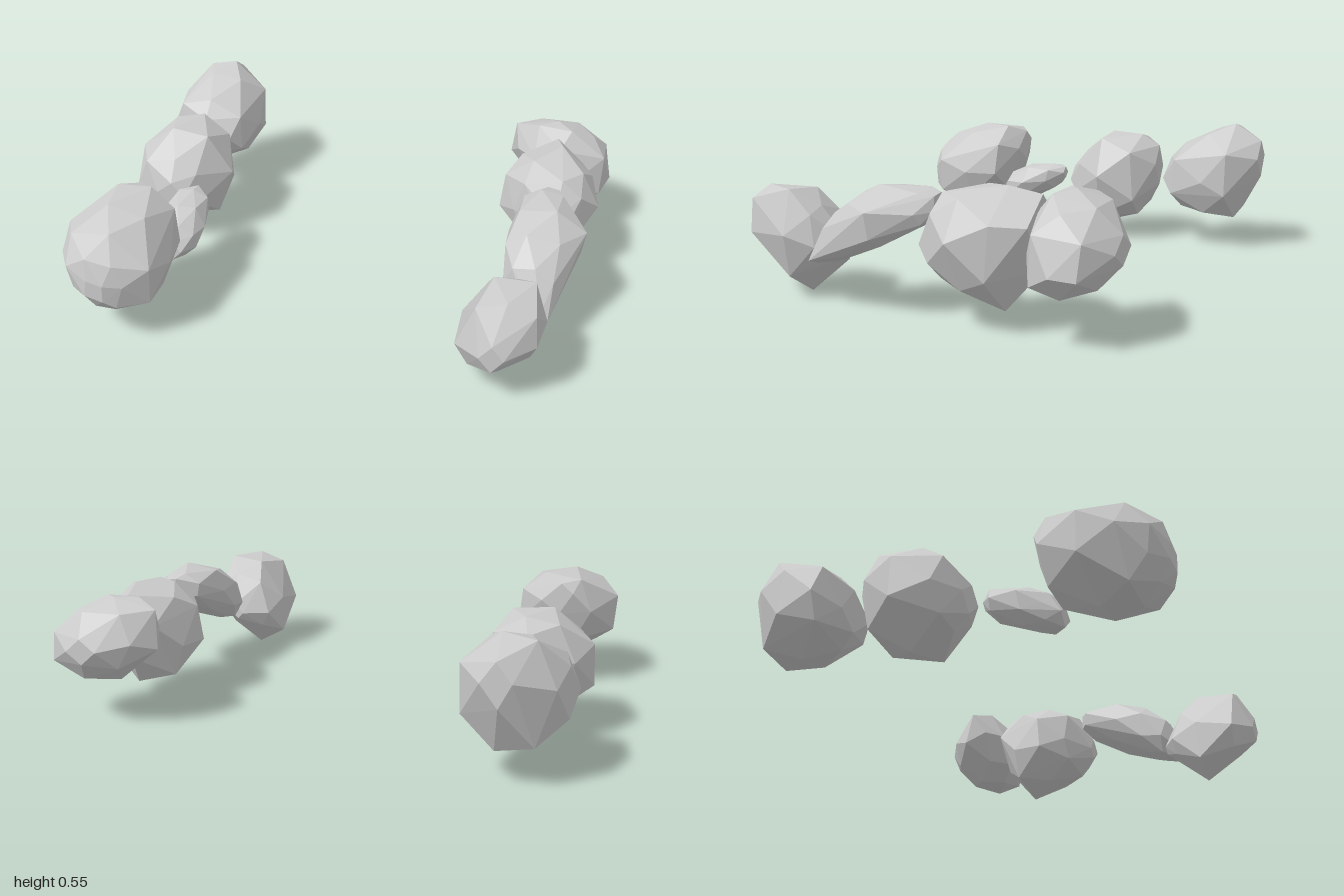
import * as THREE from 'three';
import { ConvexGeometry } from 'three/addons/geometries/ConvexGeometry.js';

const material = new THREE.MeshStandardMaterial({ color: 0xcccccc, flatShading: true });

// Small seeded generator for the irregular facets
function seeded(seed) {
  let s = seed;
  return () => (s = (s * 16807) % 2147483647) / 2147483647;
}

// A rock is the convex hull of slanted oval sections along z.
// Each section is [z, xMin, xMax, yMin, yMax]; lean > 0 raises the +x side.
function rock(name, lean, sections, seed) {
  const rand = seeded(seed * 7919 + 13);
  const points = [];
  sections.forEach(([z, x0, x1, y0, y1], i) => {
    const end = i === 0 || i === sections.length - 1;
    const sides = end ? 4 : 7;
    const grow = 1.06;
    for (let k = 0; k < sides; k++) {
      const t = ((k + (i % 2) * 0.5 + (rand() - 0.5) * 0.35) / sides) * Math.PI * 2;
      const x = (x0 + x1) / 2 + ((x1 - x0) / 2) * grow * Math.cos(t);
      const y = (y0 + y1) / 2 + ((y1 - y0) / 2) * grow * Math.sin(t + lean);
      points.push(new THREE.Vector3(
        THREE.MathUtils.clamp(x, x0, x1),
        THREE.MathUtils.clamp(y, y0, y1),
        z + (end ? 0 : (rand() - 0.5) * 0.03)
      ));
    }
  });
  const mesh = new THREE.Mesh(new ConvexGeometry(points), material);
  mesh.name = name;
  return mesh;
}

export function createModel() {
  const model = new THREE.Group();
  model.name = 'rockRows';

  // Row on the +x side, front to back
  const leftRow = new THREE.Group();
  leftRow.name = 'leftRow';
  leftRow.add(
    rock('leftFrontRock', 0.25, [
      [0.29, 0.72, 0.79, 0.16, 0.23],
      [0.37, 0.62, 0.87, 0.11, 0.35],
      [0.47, 0.60, 0.91, 0.00, 0.42],
      [0.62, 0.61, 0.90, 0.11, 0.41],
      [0.70, 0.71, 0.80, 0.16, 0.27],
    ], 1),
    rock('leftLongRock', -0.1, [
      [0.355, 0.82, 0.90, 0.15, 0.20],
      [0.28, 0.71, 0.91, 0.16, 0.34],
      [0.19, 0.69, 0.94, 0.19, 0.42],
      [0.05, 0.685, 0.98, 0.25, 0.467],
      [-0.10, 0.71, 0.90, 0.33, 0.46],
      [-0.15, 0.78, 0.85, 0.37, 0.45],
    ], 2),
    rock('leftMiddleRock', 0, [
      [-0.11, 0.80, 0.88, 0.24, 0.33],
      [-0.19, 0.66, 0.94, 0.16, 0.46],
      [-0.29, 0.585, 0.99, 0.12, 0.48],
      [-0.41, 0.60, 0.95, 0.07, 0.495],
      [-0.53, 0.66, 0.885, 0.21, 0.47],
    ], 3),
    rock('leftBackRock', -0.3, [
      [-0.52, 0.68, 0.87, 0.24, 0.42],
      [-0.59, 0.60, 0.99, 0.18, 0.49],
      [-0.65, 0.555, 1.00, 0.16, 0.495],
      [-0.745, 0.62, 0.98, 0.19, 0.46],
      [-0.825, 0.73, 0.86, 0.27, 0.37],
    ], 4)
  );

  // Row on the -x side, front to back
  const rightRow = new THREE.Group();
  rightRow.name = 'rightRow';
  rightRow.add(
    rock('rightFrontRock', -0.1, [
      [0.35, -0.80, -0.67, 0.33, 0.46],
      [0.41, -0.87, -0.56, 0.18, 0.49],
      [0.57, -0.95, -0.53, 0.11, 0.485],
      [0.70, -0.92, -0.54, 0.10, 0.44],
      [0.79, -0.85, -0.62, 0.16, 0.38],
      [0.825, -0.77, -0.67, 0.21, 0.30],
    ], 5),
    rock('rightSmallRock', 0, [
      [0.08, -0.66, -0.61, 0.27, 0.32],
      [0.14, -0.72, -0.56, 0.22, 0.33],
      [0.25, -0.73, -0.53, 0.16, 0.32],
      [0.33, -0.69, -0.54, 0.14, 0.28],
      [0.39, -0.66, -0.58, 0.14, 0.22],
    ], 6),
    rock('rightMiddleRock', 0, [
      [0.09, -0.83, -0.71, 0.19, 0.31],
      [0.03, -0.95, -0.66, 0.13, 0.39],
      [-0.10, -0.99, -0.565, 0.06, 0.48],
      [-0.25, -0.94, -0.61, 0.11, 0.48],
      [-0.33, -0.83, -0.73, 0.25, 0.43],
    ], 7),
    rock('rightBackRock', 0, [
      [-0.38, -0.88, -0.70, 0.21, 0.38],
      [-0.44, -1.00, -0.65, 0.16, 0.45],
      [-0.58, -1.00, -0.63, 0.12, 0.52],
      [-0.69, -0.97, -0.635, 0.13, 0.55],
      [-0.80, -0.85, -0.74, 0.32, 0.48],
    ], 8)
  );

  model.add(leftRow, rightRow);
  return model;
}
